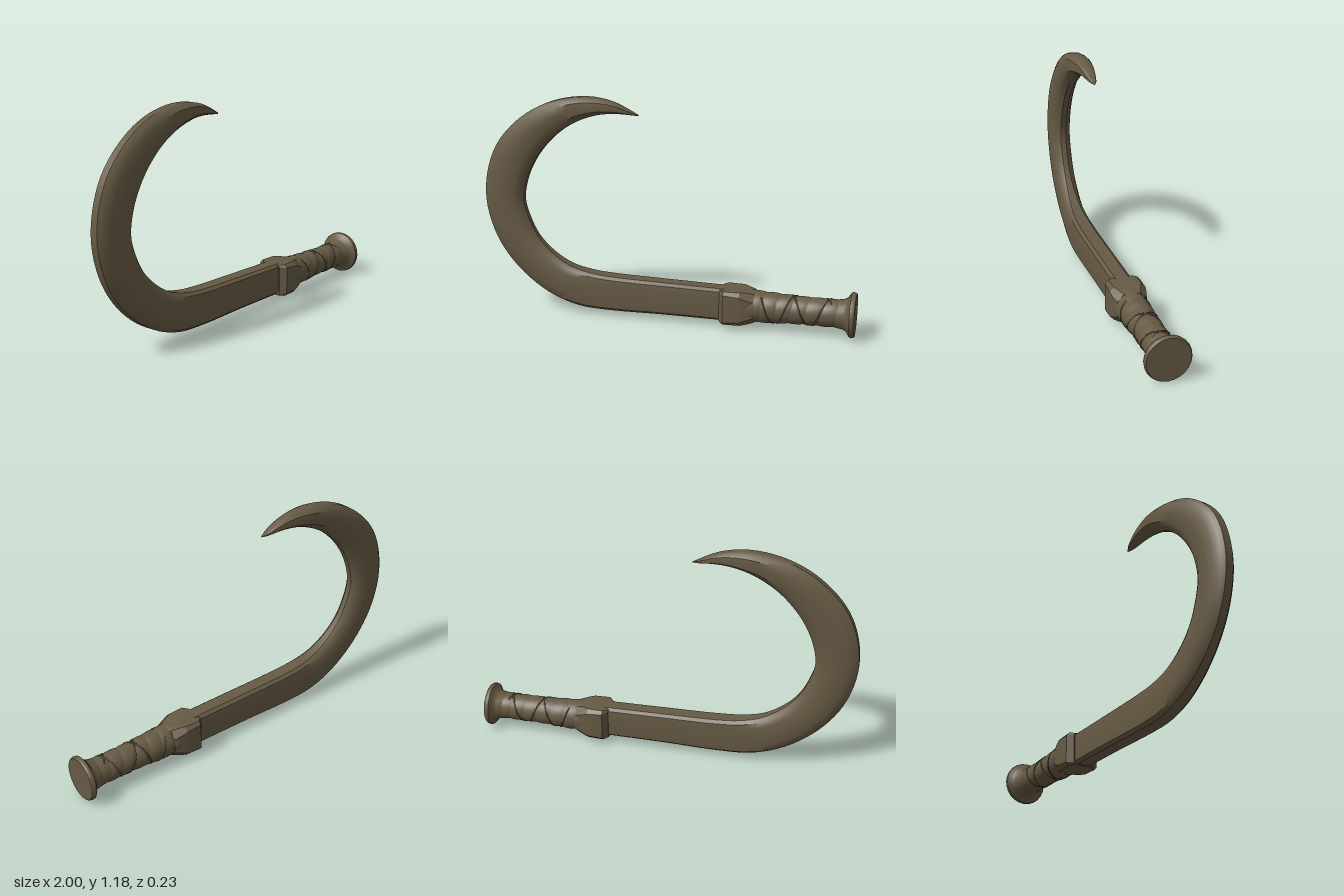
import * as THREE from 'three';
import { mergeVertices, toCreasedNormals } from 'three/addons/utils/BufferGeometryUtils.js';

const AXIS_Y = 0.1175; // height of the handle's axis

// Skin a list of rings (ordered counter-clockwise about the direction of travel), capped at both ends
function loft(rings, crease) {
  const n = rings[0].length, pos = [], index = [];
  const centre = (r) => r.reduce((s, p) => s.add(p), new THREE.Vector3()).divideScalar(n);
  rings.flat().forEach((p) => pos.push(p.x, p.y, p.z));
  const last = (rings.length - 1) * n, c = rings.length * n;
  [rings[0], rings[rings.length - 1]].forEach((r) => pos.push(...centre(r).toArray()));
  for (let j = 0; j < n; j++) {
    const k = (j + 1) % n;
    for (let a = 0; a < last; a += n) {
      index.push(a + j, a + k, a + n + j, a + k, a + n + k, a + n + j);
    }
    index.push(c, k, j, c + 1, last + j, last + k);
  }
  const g = new THREE.BufferGeometry();
  g.setAttribute('position', new THREE.Float32BufferAttribute(pos, 3));
  g.setIndex(index);
  return toCreasedNormals(g, crease);
}

// Hooked blade: outer and inner edge curves joined by a bevelled cross-section
function bladeGeometry() {
  const edge = (pts) => new THREE.CatmullRomCurve3(pts.map(([x, y]) => new THREE.Vector3(x, y, 0)));
  const outer = edge([[0.36, 0.035], [0, 0.035], [-0.3, 0.031], [-0.47, 0.04], [-0.62, 0.085], [-0.76, 0.17],
    [-0.88, 0.29], [-0.96, 0.43], [-1, 0.6], [-0.985, 0.76], [-0.93, 0.9], [-0.84, 1.01], [-0.72, 1.1],
    [-0.58, 1.157], [-0.42, 1.178], [-0.28, 1.157], [-0.142, 1.094]]);
  const inner = edge([[0.36, 0.207], [0, 0.213], [-0.3, 0.22], [-0.42, 0.232], [-0.53, 0.262], [-0.63, 0.325],
    [-0.71, 0.41], [-0.76, 0.51], [-0.785, 0.61], [-0.765, 0.72], [-0.72, 0.82], [-0.655, 0.91], [-0.57, 0.99],
    [-0.47, 1.05], [-0.37, 1.085], [-0.27, 1.097], [-0.145, 1.09]]);
  // [fraction from outer to inner edge, half thickness in the hook, half thickness in the shank]
  const side = [[1, 0.015, 0.035], [0.92, 0.035, 0.052], [0.78, 0.052, 0.055], [0.5, 0.055, 0.055],
    [0.25, 0.053, 0.055], [0.08, 0.036, 0.052], [0, 0.02, 0.035]];
  const section = [...side.map(([u, h, s]) => [u, -h, -s]), ...[...side].reverse()];
  const rings = [], steps = 64;
  for (let i = 0; i <= steps; i++) {
    const t = i / steps, o = outer.getPoint(t), n = inner.getPoint(t);
    const hook = THREE.MathUtils.smoothstep(t, 0.12, 0.4);
    const taper = Math.max(0.03, Math.sqrt(Math.min(1, (1 - t) / 0.14)));
    rings.push(section.map(([u, h, s]) => {
      const p = o.clone().lerp(n, u);
      p.z = THREE.MathUtils.lerp(s, h, hook) * taper;
      return p;
    }));
  }
  return loft(rings, 0.6);
}

// Angular collar: chamfered rectangles stacked along the handle
function collarGeometry() {
  const stations = [[0.3, 0.086, 0.06, 0.01], [0.325, 0.09, 0.092, 0.016], [0.41, 0.09, 0.094, 0.022],
    [0.435, 0.088, 0.09, 0.03], [0.48, 0.078, 0.078, 0.035]];
  return loft(stations.map(([x, h, w, c]) => [
    [h, w - c], [h - c, w], [c - h, w], [-h, w - c], [-h, c - w], [c - h, -w], [h - c, -w], [h, c - w],
  ].map(([y, z]) => new THREE.Vector3(x, AXIS_Y + y, z))), 0.3);
}

// Round part turned about the handle axis, from [x, radius] pairs
function turned(profile, segments = 32) {
  const g = new THREE.LatheGeometry(profile.map(([x, r]) => new THREE.Vector2(r, x)), segments);
  return g.rotateZ(-Math.PI / 2).translate(0, AXIS_Y, 0);
}

const gripRadius = (x) => 0.083 - 0.011 * THREE.MathUtils.smoothstep(x, 0.45, 0.75);

// Grip with overlapping spiral wraps
function gripGeometry() {
  const profile = [];
  for (let i = 0; i <= 90; i++) {
    const x = 0.42 + (0.53 * i) / 90;
    profile.push([x, gripRadius(x)]);
  }
  const g = turned(profile, 36), p = g.attributes.position;
  for (let i = 0; i < p.count; i++) {
    const x = p.getX(i), y = p.getY(i) - AXIS_Y, z = p.getZ(i);
    const phase = x * 13 + Math.atan2(z, y) / (2 * Math.PI);
    const f = phase - Math.floor(phase);
    const k = 1 + 0.07 * (Math.pow(Math.sin(Math.PI * f), 0.5) - 0.7);
    p.setXYZ(i, x, AXIS_Y + y * k, z * k);
  }
  g.deleteAttribute('normal');
  g.deleteAttribute('uv');
  return toCreasedNormals(mergeVertices(g, 1e-4), 0.8);
}

// Thin cord winding over the wraps
function cordGeometry(direction, offset) {
  const pts = [];
  for (let i = 0; i <= 48; i++) {
    const t = i / 48, a = direction * t * Math.PI * 4 + offset, x = 0.52 + 0.36 * t, r = gripRadius(x);
    pts.push(new THREE.Vector3(x, AXIS_Y + r * Math.cos(a), r * Math.sin(a)));
  }
  return new THREE.TubeGeometry(new THREE.CatmullRomCurve3(pts), 96, 0.004, 6);
}

export function createModel() {
  const group = new THREE.Group();
  const bronze = new THREE.MeshStandardMaterial({ color: 0x665a44 });
  bronze.name = 'dull bronze';
  const add = (name, geometry) => {
    const mesh = new THREE.Mesh(geometry, bronze);
    mesh.name = name;
    group.add(mesh);
  };

  add('blade', bladeGeometry());
  add('collar', collarGeometry());
  add('grip', gripGeometry());
  add('gripBand', toCreasedNormals(turned([[0.43, 0.07], [0.43, 0.086], [0.445, 0.088], [0.475, 0.087],
    [0.485, 0.084], [0.485, 0.07]]), 0.6));
  [1, -1].forEach((d) => add(d > 0 ? 'cordForward' : 'cordReverse', cordGeometry(d, 0.6 * d)));
  // Flared pommel with a flat end
  add('pommel', toCreasedNormals(turned([[0.9, 0.066], [0.915, 0.075], [0.94, 0.079], [0.957, 0.088],
    [0.967, 0.104], [0.975, 0.1155], [0.985, 0.1175], [0.995, 0.115], [1, 0.111], [1, 0]], 24), 0.6));
  return group;
}
